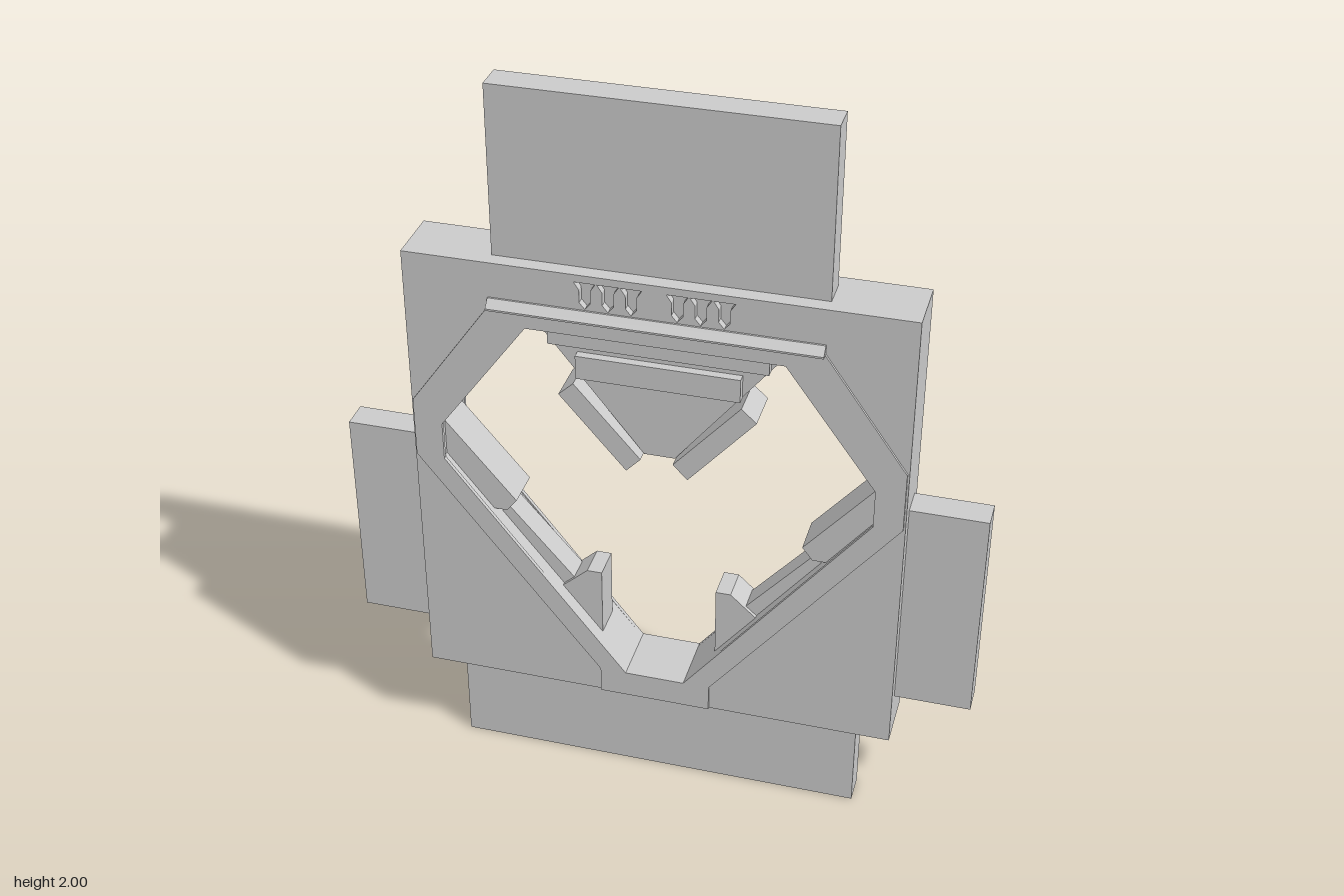
import * as THREE from 'three';

const mat = new THREE.MeshStandardMaterial({ color: 0xcccccc, flatShading: true });

// Right-hand outline points, mirrored across x = 0 into a closed loop
const mirrored = (half) => [...half, ...half.map(([x, y]) => [-x, y]).reverse()];
const flip = (pts) => pts.map(([x, y]) => [-x, y]);
const toVec = (pts) => pts.map(([x, y]) => new THREE.Vector2(x, y));

export function createModel() {
  const model = new THREE.Group();

  const add = (name, geometry) => {
    const mesh = new THREE.Mesh(geometry, mat);
    mesh.name = name;
    model.add(mesh);
    return mesh;
  };

  // Flat plate between two depths, with optional holes
  const plate = (name, pts, z0, z1, holes = []) => {
    const shape = new THREE.Shape(toVec(pts));
    holes.forEach((h) => shape.holes.push(new THREE.Path(toVec(h))));
    const geo = new THREE.ExtrudeGeometry(shape, { depth: z1 - z0, bevelEnabled: false });
    geo.translate(0, 0, z0);
    return add(name, geo);
  };

  const box = (name, x0, x1, y0, y1, z0, z1) => {
    const geo = new THREE.BoxGeometry(x1 - x0, y1 - y0, z1 - z0);
    geo.translate((x0 + x1) / 2, (y0 + y1) / 2, (z0 + z1) / 2);
    return add(name, geo);
  };

  // Central opening and square frame
  const opening = mirrored([[0.08, 0.345], [0.565, 0.955], [0.565, 1.065], [0.33, 1.39]]);
  const square = mirrored([[0.64, 0.27], [0.64, 1.55]]);
  plate('frameCore', square, -0.06, 0.06, [opening]);

  // Tapered pits above the ridge, three on each side of the middle
  const pits = [];
  for (const c of [-0.115, 0.115]) {
    for (const k of [-1, 0, 1]) {
      const x = c + k * 0.058;
      pits.push([[x - 0.027, 1.53], [x + 0.027, 1.53], [x + 0.014, 1.51],
        [x + 0.014, 1.475], [x, 1.458], [x - 0.014, 1.475], [x - 0.014, 1.51]]);
    }
  }

  // Raised border around the opening
  const border = mirrored([[0.15, 0.27], [0.15, 0.345], [0.635, 0.96], [0.635, 1.125], [0.42, 1.43]]);
  const lip = mirrored([[0.08, 0.345], [0.56, 0.957], [0.56, 1.063], [0.326, 1.384]]);

  for (const s of [1, -1]) {
    const side = s > 0 ? 'front' : 'back';
    const span = (a, b) => (s > 0 ? [a, b] : [-b, -a]);
    plate(side + 'FacePlate', square, ...span(0.06, 0.08), [opening, ...pits]);
    plate(side + 'RaisedBorder', border, ...span(0.076, 0.087), [lip]);

    // Wedge-shaped ridge across the top
    const profile = new THREE.Shape(toVec([[0.07, 1.43], [0.105, 1.43], [0.105, 1.435], [0.085, 1.455], [0.07, 1.455]]));
    const ridge = new THREE.ExtrudeGeometry(profile, { depth: 0.84, bevelEnabled: false });
    ridge.translate(0, 0, -0.42);
    ridge.rotateY(-Math.PI / 2);
    const mesh = add(side + 'Ridge', ridge);
    if (s < 0) mesh.rotation.y = Math.PI;
  }

  // Plain slabs projecting from the four edges
  box('topSlab', -0.42, 0.42, 1.54, 2, -0.038, 0.04);
  box('bottomSlab', -0.555, 0.545, 0, 0.28, -0.038, 0.04);
  box('leftSlab', 0.63, 0.84, 0.39, 0.99, -0.038, 0.04);
  box('rightSlab', -0.84, -0.63, 0.39, 0.99, -0.038, 0.04);

  // Hanging wedge with two cross bars
  plate('hangingWedge', mirrored([[0.04, 1.03], [0.335, 1.4]]), -0.032, 0.032);
  box('upperBar', -0.28, 0.28, 1.33, 1.37, -0.055, 0.055);
  box('lowerBar', -0.21, 0.21, 1.24, 1.305, -0.055, 0.055);

  // Mirrored blocks inside the opening
  const pads = [
    ['wedgePad', [[0.042, 1.03], [0.08, 0.99], [0.254, 1.19], [0.215, 1.227]], 0.06],
    ['sideBlock', [[0.57, 0.9], [0.57, 1.06], [0.38, 0.835], [0.407, 0.8], [0.48, 0.8]], 0.055],
    ['sideStrip', [[0.42, 0.815], [0.225, 0.59], [0.225, 0.52], [0.43, 0.76]], 0.035],
    ['lowerPost', [[0.155, 0.43], [0.28, 0.56], [0.235, 0.6], [0.195, 0.637], [0.155, 0.637]], 0.045],
  ];
  for (const [name, pts, h] of pads) {
    plate('left' + name[0].toUpperCase() + name.slice(1), pts, -h, h);
    plate('right' + name[0].toUpperCase() + name.slice(1), flip(pts), -h, h);
  }

  return model;
}
